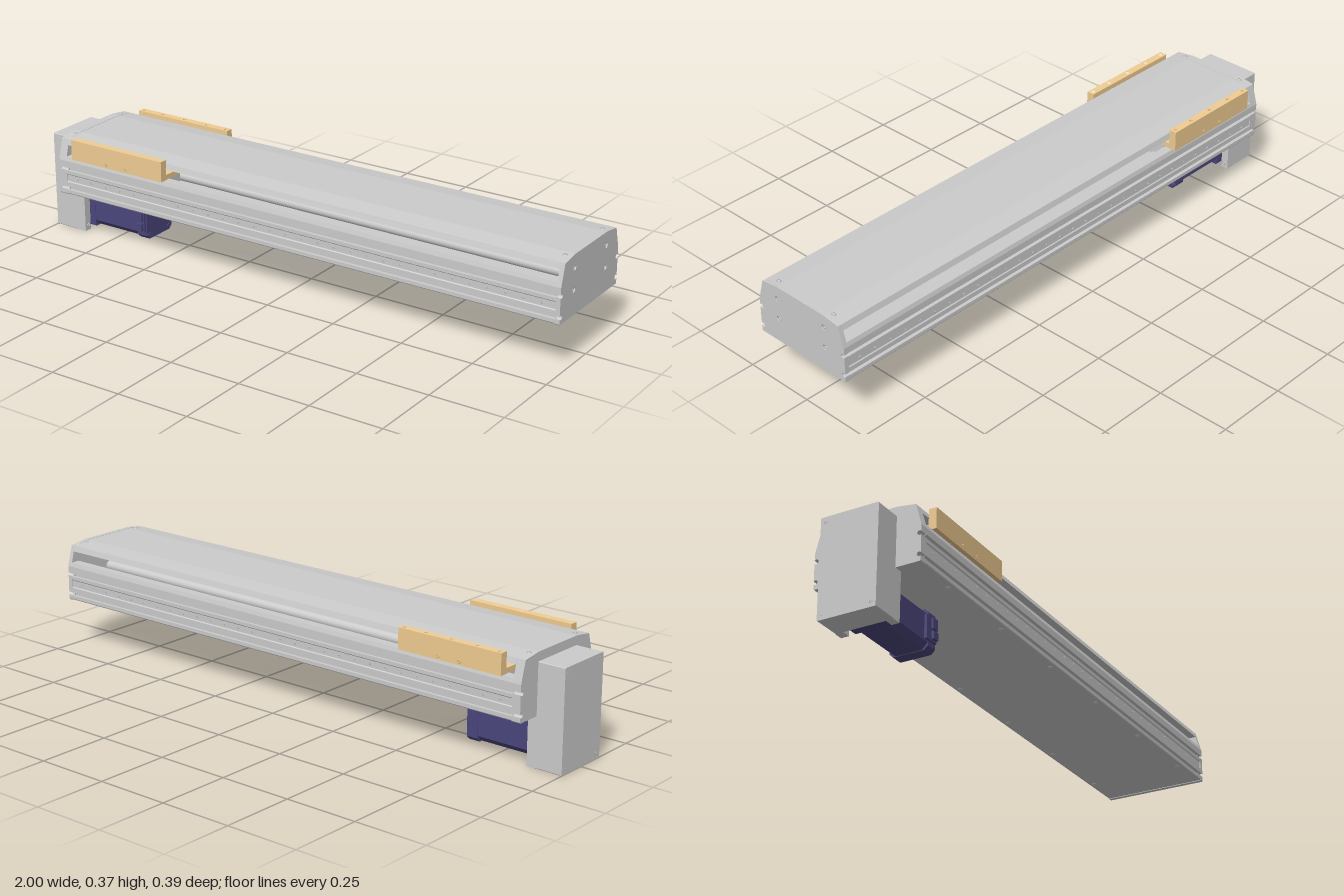
import * as THREE from 'three';

const grey = new THREE.MeshStandardMaterial({ color: 0xcccccc });
const navy = new THREE.MeshStandardMaterial({ color: 0x4b467c });
const tan = new THREE.MeshStandardMaterial({ color: 0xf0cc92 });

export function createModel() {
  const root = new THREE.Group();

  const add = (name, geometry, material = grey) => {
    const mesh = new THREE.Mesh(geometry, material);
    mesh.name = name;
    root.add(mesh);
    return mesh;
  };
  // Box given by its limits on each axis
  const box = (name, x0, x1, y0, y1, z0, z1, material) =>
    add(name, new THREE.BoxGeometry(x1 - x0, y1 - y0, z1 - z0)
      .translate((x0 + x1) / 2, (y0 + y1) / 2, (z0 + z1) / 2), material);
  // Cross-section swept along x
  const sweep = (name, shape, x0, x1, material) =>
    add(name, new THREE.ExtrudeGeometry(shape, { depth: x1 - x0, bevelEnabled: false, curveSegments: 10 })
      .rotateY(Math.PI / 2).translate(x0, 0, 0), material);
  // Closed shape from its half outline, bottom to top, mirrored about the middle
  const mirrored = (half) => new THREE.Shape([
    ...half.map(([z, y]) => new THREE.Vector2(z, y)),
    ...half.slice().reverse().map(([z, y]) => new THREE.Vector2(-z, y)),
  ]);
  const circle = (z, y, r) => new THREE.Path().absarc(z, y, r, 0, Math.PI * 2, true);
  // Socket screw: ring and sunken core, along the chosen axis
  const screw = (name, x, y, z, r, axis, material) => {
    const profile = [[0, -0.001], [r * 0.5, -0.001], [r * 0.5, 0.002], [r, 0.002], [r, -0.004]]
      .map(([a, b]) => new THREE.Vector2(a, b));
    const g = new THREE.LatheGeometry(profile.reverse(), 16);
    if (axis === 'x') g.rotateZ(-Math.PI / 2);
    if (axis === '-x') g.rotateZ(Math.PI / 2);
    if (axis === '-y') g.rotateX(Math.PI);
    if (axis === 'z') g.rotateX(Math.PI / 2);
    if (axis === '-z') g.rotateX(-Math.PI / 2);
    return add(name, g.translate(x, y, z), material || grey);
  };

  // Side wall outline with two T-slots
  const slot = (y) => [[0.185, y - 0.006], [0.176, y - 0.006], [0.176, y - 0.009], [0.168, y - 0.009],
    [0.168, y + 0.009], [0.176, y + 0.009], [0.176, y + 0.006], [0.185, y + 0.006]];
  const wall = [[0.183, 0.167], [0.185, 0.17], ...slot(0.188), [0.185, 0.21], [0.182, 0.213],
    [0.182, 0.236], [0.185, 0.239], ...slot(0.257), [0.185, 0.285], [0.181, 0.299]];

  // Base profile with an open trough
  sweep('baseProfile', mirrored([...wall, [0.15, 0.299], [0.15, 0.215]]), -0.875, 0.985);

  // Rails and drive screw inside the trough
  for (const s of [-1, 1]) box('guideRail', -0.87, 0.98, 0.214, 0.245, s * 0.1 - 0.014, s * 0.1 + 0.014);
  add('driveScrew', new THREE.CylinderGeometry(0.018, 0.018, 1.86, 20)
    .rotateZ(Math.PI / 2).translate(0.055, 0.25, 0));

  // Bent top cover with narrow side lips
  sweep('topCover', mirrored([[0.168, 0.337], [0.171, 0.337], [0.165, 0.356], [0.1, 0.364],
  ]), -0.875, 0.985).visible = true;

  // End plates with round notches beside the slots
  const plateShape = () => {
    const s = new THREE.Shape();
    const right = (y) => s.lineTo(0.185, y - 0.005).absarc(0.179, y, 0.0078, -0.7, 0.7, true).lineTo(0.185, y + 0.005);
    const left = (y) => s.lineTo(-0.185, y + 0.005).absarc(-0.179, y, 0.0078, Math.PI - 0.7, Math.PI + 0.7, true)
      .lineTo(-0.185, y - 0.005);
    s.moveTo(-0.183, 0.165).lineTo(0.183, 0.165).lineTo(0.185, 0.168);
    right(0.188); right(0.257);
    s.lineTo(0.185, 0.285).lineTo(0.165, 0.356).lineTo(0.1, 0.365)
      .lineTo(-0.1, 0.365).lineTo(-0.165, 0.356).lineTo(-0.185, 0.285);
    left(0.257); left(0.188);
    s.lineTo(-0.185, 0.168);
    return s;
  };
  const holed = plateShape();
  const spots = [[-0.102, 0.249], [0.102, 0.249], [-0.102, 0.321], [0.102, 0.321]];
  for (const [z, y] of spots) holed.holes.push(circle(z, y, 0.009));
  sweep('farEndPlate', holed, 0.985, 1);
  sweep('driveEndPlate', plateShape(), -0.905, -0.875);
  for (const [z, y] of spots) screw('endPlateScrew', 0.995, y, z, 0.0075, 'x');

  // Cover and underside screws
  for (const z of [-0.12, 0.12]) {
    for (const x of [-0.885, 0.975]) screw('coverScrew', x, 0.3615, z, 0.008, 'y');
  }
  for (const z of [-0.165, 0.165]) {
    for (let i = 0; i < 6; i++) screw('undersideScrew', -0.72 + i * 0.31, 0.167, z, 0.008, '-y');
  }
  // Row of small fixings along each side
  for (const s of [-1, 1]) {
    for (let i = 0; i < 30; i++) {
      screw('sideFixing', -0.83 + i * 0.061, 0.224, s * 0.1815, 0.003, s > 0 ? 'z' : '-z');
    }
  }

  // Carriage: bridge plate, bearing blocks and two upright arms
  box('carriagePlate', -0.84, -0.46, 0.301, 0.318, -0.175, 0.175, tan);
  for (const s of [-1, 1]) {
    for (const x of [-0.76, -0.54]) box('bearingBlock', x - 0.06, x + 0.06, 0.235, 0.301, s * 0.1 - 0.03, s * 0.1 + 0.03);
    const arm = new THREE.Shape([[-0.84, 0.168], [-0.46, 0.168], [-0.46, 0.195], [-0.84, 0.195]]
      .map(([x, z]) => new THREE.Vector2(x, -z * s)));
    const xs = [-0.825, -0.745, -0.65, -0.555, -0.475];
    for (const x of xs) arm.holes.push(circle(x, -s * 0.1815, 0.006));
    add('carriageArm', new THREE.ExtrudeGeometry(arm, { depth: 0.07, bevelEnabled: false, curveSegments: 6 })
      .rotateX(-Math.PI / 2).translate(0, 0.3, 0), tan);
    for (const x of xs) {
      add('armHoleFloor', new THREE.CylinderGeometry(0.006, 0.006, 0.05, 12).translate(x, 0.326, s * 0.1815), tan);
    }
    for (const x of [-0.69, -0.61]) screw('armScrew', x, 0.312, s * 0.194, 0.006, s > 0 ? 'z' : '-z', tan);
  }

  // Belt housing with a U-shaped rim around the motor
  sweep('beltHousing', mirrored([[0.098, 0], [0.1, 0.002], [0.1, 0.333], [0.098, 0.335]]), -1, -0.905);
  const rim = new THREE.Shape();
  rim.moveTo(0.073, 0).lineTo(0.1, 0).lineTo(0.1, 0.165).lineTo(-0.1, 0.165).lineTo(-0.1, 0).lineTo(-0.073, 0)
    .lineTo(-0.073, 0.14).absarc(-0.053, 0.14, 0.02, Math.PI, Math.PI / 2, true)
    .lineTo(0.053, 0.16).absarc(0.053, 0.14, 0.02, Math.PI / 2, 0, true).lineTo(0.073, 0);
  sweep('housingRim', rim, -0.905, -0.875);
  for (const z of [-0.083, 0.083]) {
    screw('rimScrew', -0.875, 0.018, z, 0.007, 'x');
    for (const y of [0.018, 0.317]) screw('lidScrew', -1 + 0.002, y, z, 0.006, '-x');
  }

  // Motor: square flanges around a chamfered body
  const octagon = (h, c) => mirrored([[h - c, 0.08 - h], [h, 0.08 - h + c], [h, 0.08 + h - c], [h - c, 0.08 + h]]);
  sweep('motorFlange', octagon(0.067, 0.003), -0.905, -0.855, navy);
  sweep('motorBody', octagon(0.0655, 0.02), -0.855, -0.67, navy);
  sweep('motorEndCap', octagon(0.067, 0.013), -0.67, -0.63, navy);
  for (const s of [-1, 1]) {
    for (const t of [-1, 1]) screw('motorScrew', -0.631, 0.08 + t * 0.053, s * 0.053, 0.009, 'x', navy);
  }
  // Motor connectors on the front side
  box('connectorBase', -0.69, -0.635, 0.04, 0.118, 0.06, 0.075, navy);
  box('upperConnector', -0.665, -0.64, 0.08, 0.115, 0.07, 0.082, navy);
  box('lowerConnector', -0.665, -0.64, 0.046, 0.072, 0.07, 0.084, navy);

  return root;
}
